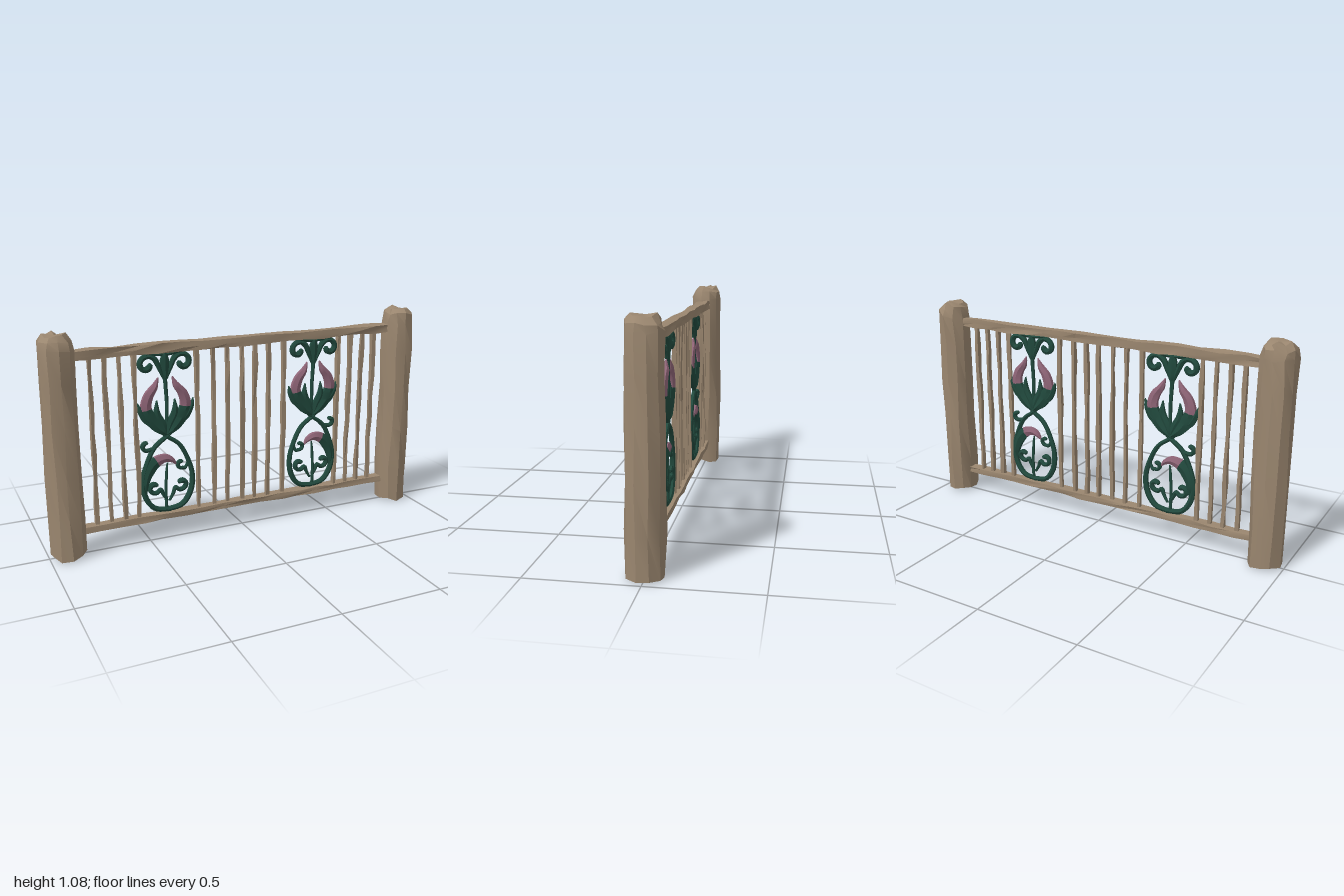
import * as THREE from 'three';
import { toCreasedNormals } from 'three/addons/utils/BufferGeometryUtils.js';

const mat = (name, color) => Object.assign(new THREE.MeshStandardMaterial({ color }), { name });

// Repeatable noise from a position, so that shared corners move together
function noise(x, y, z, seed) {
  const s = Math.sin(Math.round(x * 1e4) * 0.0129 + Math.round(y * 1e4) * 0.0782
    + Math.round(z * 1e4) * 0.0377 + seed * 4.17) * 43758.5453;
  return (s - Math.floor(s)) * 2 - 1;
}

// Roughens a geometry like hand-hewn wood
function hew(geo, ax, ay, az, seed) {
  const p = geo.attributes.position;
  for (let i = 0; i < p.count; i++) {
    const [x, y, z] = [p.getX(i), p.getY(i), p.getZ(i)];
    p.setXYZ(i, x + ax * noise(x, y, z, seed), y + ay * noise(x, y, z, seed + 1), z + az * noise(x, y, z, seed + 2));
  }
  return toCreasedNormals(geo, 0.5);
}

// Flattened sweep in the xy plane through points [x, y, half width]
function sweep(points, side, depth, split = 1) {
  const sides = 6, n = points.length * 4;
  const curve = new THREE.CatmullRomCurve3(points.map(([x, y]) => new THREE.Vector3(x * side, y, 0)));
  const geo = new THREE.TubeGeometry(curve, n, 1, sides);
  const p = geo.attributes.position;
  for (let i = 0; i <= n; i++) {
    const c = curve.getPointAt(i / n);
    const f = curve.getUtoTmapping(i / n) * (points.length - 1);
    const k = Math.min(Math.floor(f), points.length - 2);
    const w = THREE.MathUtils.lerp(points[k][2], points[k + 1][2], f - k);
    for (let j = 0; j <= sides; j++) {
      const v = i * (sides + 1) + j;
      p.setXYZ(v, c.x + (p.getX(v) - c.x) * w, c.y + (p.getY(v) - c.y) * w, p.getZ(v) * Math.min(w, depth));
    }
  }
  // First part of the length takes material 0, the tip takes material 1
  const cut = Math.round(n * split) * sides * 6;
  geo.addGroup(0, cut, 0);
  geo.addGroup(cut, n * sides * 6 - cut, 1);
  return toCreasedNormals(geo, 0.6);
}

// Spiral inward around (cx, cy), with a bulb at its end
function spiral(cx, cy, r, a0, turn, w) {
  const pts = [];
  for (let i = 0; i <= 8; i++) {
    const t = i / 8, a = a0 + turn * t, q = r * (1 - 0.75 * t);
    pts.push([cx + q * Math.cos(a), cy + q * Math.sin(a), i === 8 ? 0.002 : w * (1 + 0.4 * t)]);
  }
  return pts;
}

export function createModel() {
  const wood = mat('weathered wood', 0x9a866f);
  const green = mat('dark green', 0x21493d);
  const pink = mat('dusty pink', 0x8f6577);
  const model = new THREE.Group();
  const add = (parent, name, geo, material, x = 0, y = 0, z = 0) => {
    const m = new THREE.Mesh(geo, material);
    m.name = name;
    m.position.set(x, y, z);
    parent.add(m);
  };

  // Log posts with rounded tops
  const profile = [[0, 0.015], [0.082, 0.015], [0.086, 0.2], [0.084, 0.42], [0.083, 0.65], [0.082, 0.85],
    [0.082, 1.0], [0.074, 1.045], [0.05, 1.07], [0, 1.072]].map(([r, y]) => new THREE.Vector2(r, y));
  [-1, 1].forEach((s, i) => {
    add(model, s < 0 ? 'rightPost' : 'leftPost', hew(new THREE.LatheGeometry(profile, 10), 0.006, 0.012, 0.006, i * 9), wood, s * 0.907);
  });

  // Rails
  add(model, 'topRail', hew(new THREE.BoxGeometry(1.7, 0.043, 0.052, 16, 2, 2), 0.02, 0.005, 0.005, 3), wood, 0, 0.972);
  add(model, 'bottomRail', hew(new THREE.BoxGeometry(1.7, 0.03, 0.05, 16, 2, 2), 0.02, 0.003, 0.004, 5), wood, 0, 0.128);

  // Balusters
  const bars = [-0.76, -0.69, -0.62, -0.55, -0.24, -0.155, -0.08, 0, 0.07, 0.145, 0.23, 0.545, 0.615, 0.685, 0.755];
  bars.forEach((x, i) => {
    add(model, 'baluster', hew(new THREE.BoxGeometry(0.018, 0.83, 0.02, 1, 7, 1), 0.004, 0.01, 0.004, i + 20), wood, x, 0.545);
  });

  // Scrollwork panels, mirrored
  for (const side of [1, -1]) {
    const panel = new THREE.Group();
    panel.name = side > 0 ? 'rightFlowerPanel' : 'leftFlowerPanel';
    panel.position.x = -0.4 * side;
    model.add(panel);
    const part = (name, pts, depth = 0.014, split = 1) => add(panel, name, sweep(pts, side, depth, split), [green, pink], 0, 0, 0);

    part('upperStem', [[0, 0.53, 0.008], [0.005, 0.7, 0.009], [0, 0.82, 0.01], [0, 0.95, 0.008]]);
    part('lowerStem', [[-0.01, 0.15, 0.008], [-0.012, 0.25, 0.008], [-0.005, 0.36, 0.007], [0, 0.4, 0.004]]);
    part('crownBud', [[0, 0.8, 0.004], [0, 0.86, 0.02], [0, 0.91, 0.025], [0, 0.95, 0.01]]);

    for (const m of [-1, 1]) {
      const flip = pts => pts.map(([x, y, w]) => [x * m, y, w]);
      // Crown scroll
      part('crownScroll', flip([[0.005, 0.82, 0.007], [0.025, 0.87, 0.012], [0.05, 0.92, 0.015],
        ...spiral(0.09, 0.895, 0.042, 1.9, -5.6, 0.013)]));
      part('crownLeaf', flip([[0.01, 0.94, 0.01], [0.05, 0.945, 0.012], [0.09, 0.945, 0.01], [0.12, 0.92, 0.002]]));
      // Pink-tipped flower leaves
      part('flowerLeaf', flip([[0, 0.545, 0.01], [0.045, 0.585, 0.028], [0.085, 0.64, 0.036], [0.1, 0.69, 0.03],
        [0.085, 0.745, 0.026], [0.055, 0.785, 0.018], [0.035, 0.83, 0.003]]), 0.018, 0.5);
      part('innerLeaf', flip([[0, 0.545, 0.008], [0.02, 0.6, 0.022], [0.045, 0.65, 0.02], [0.045, 0.72, 0.003]]));
      part('leafPoint', flip([[0.05, 0.59, 0.015], [0.1, 0.63, 0.022], [0.13, 0.68, 0.014], [0.14, 0.715, 0.002]]));
      // Pear-shaped loop that crosses itself at the top
      part('loop', flip([[-0.045, 0.575, 0.008], [0, 0.535, 0.011], [0.06, 0.49, 0.012], [0.1, 0.42, 0.012], [0.128, 0.32, 0.013],
        [0.115, 0.23, 0.015], [0.07, 0.17, 0.014], [-0.01, 0.155, 0.012]]));
      // Inner curls
      part('innerCurl', flip([[0.005, 0.2, 0.006], [0.025, 0.235, 0.009],
        ...spiral(0.07, 0.28, 0.035, 3.6, 5.8, 0.011)]));
    }

    // Side curls
    part('sideCurl', [[-0.03, 0.515, 0.006], [-0.06, 0.485, 0.009], ...spiral(-0.105, 0.5, 0.028, -1, -4.5, 0.01)]);
    part('sideCurl', [[0.11, 0.4, 0.006], [0.09, 0.36, 0.009], ...spiral(0.07, 0.385, 0.025, -1.2, -4.5, 0.009)]);
    // Drooping leaf with a pink tip
    part('droopingLeaf', [[-0.115, 0.25, 0.006], [-0.115, 0.31, 0.02], [-0.095, 0.37, 0.032], [-0.06, 0.41, 0.032],
      [-0.01, 0.425, 0.022], [0.025, 0.41, 0.014], [0.045, 0.385, 0.003]], 0.018, 0.6);
  }
  return model;
}
